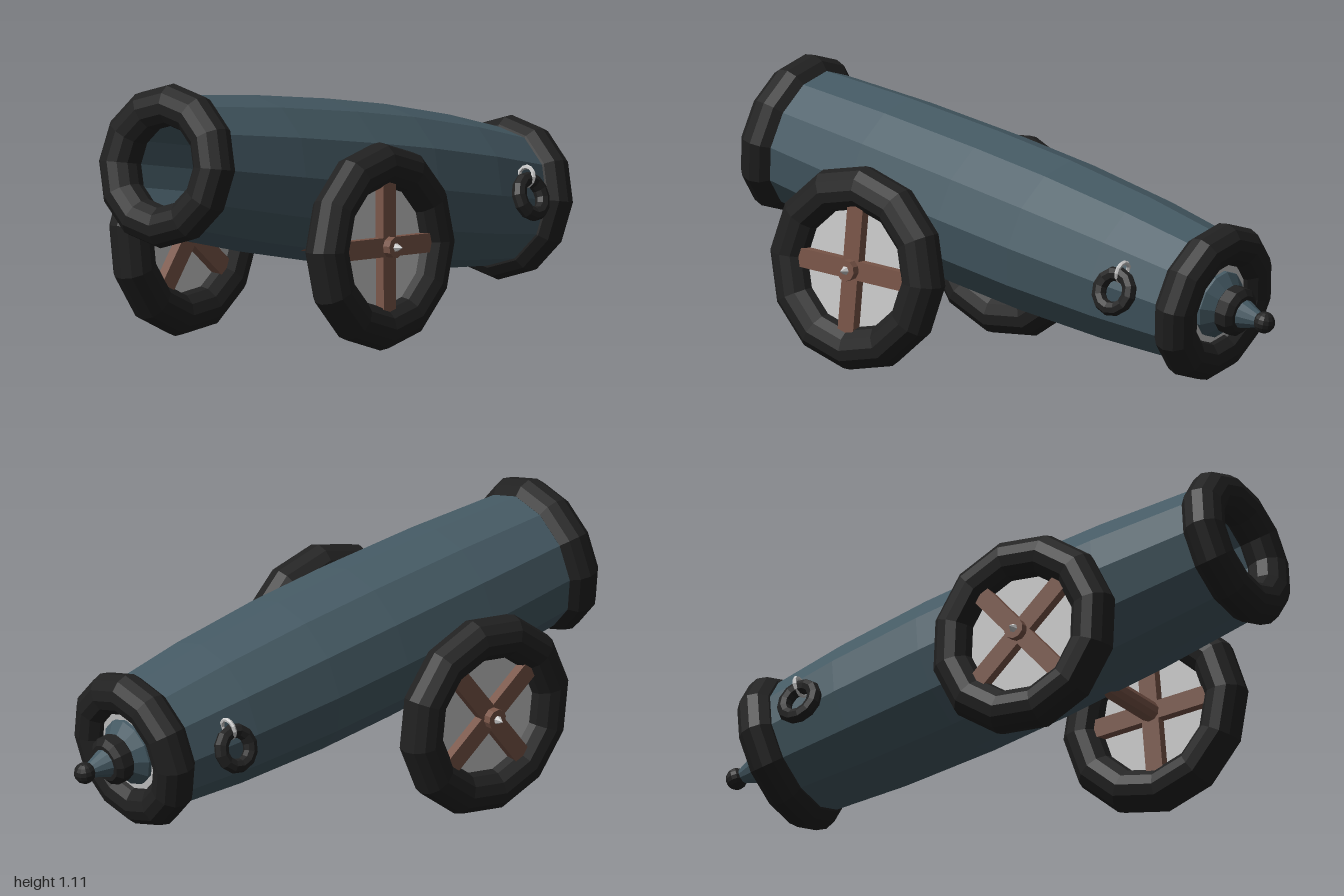
import * as THREE from 'three';

const material = (color) => new THREE.MeshStandardMaterial({ color, flatShading: true });

export function createModel() {
  const iron = material(0x455a64);
  const black = material(0x212121);
  const wood = material(0x795548);
  const grey = material(0xcccccc);

  // Cannon frame: x across, y up, z towards the muzzle; turned, pitched and slightly rolled
  const cannon = new THREE.Group();
  cannon.name = 'cannon';

  function add(parent, name, geometry, mat, x = 0, y = 0, z = 0) {
    const mesh = new THREE.Mesh(geometry, mat);
    mesh.name = name;
    mesh.position.set(x, y, z);
    parent.add(mesh);
    return mesh;
  }

  // Solid of revolution around z, from [radius, z] pairs running back to front
  function turned(name, profile, mat, sides) {
    const points = profile.map(([r, z]) => new THREE.Vector2(r, z));
    return add(cannon, name, new THREE.LatheGeometry(points, sides).rotateX(Math.PI / 2), mat);
  }

  // Bulging barrel with a bore
  turned('barrel', [
    [0, -1.02], [0.265, -1.02], [0.3, -0.65], [0.318, -0.25], [0.318, 0.1],
    [0.305, 0.55], [0.275, 1.02], [0.18, 1.02], [0.175, 0.3], [0, 0.3],
  ], iron, 12);

  // Thick rings at both ends
  for (const [name, z] of [['muzzleRing', 1.03], ['breechRing', -1.03]]) {
    add(cannon, name, new THREE.TorusGeometry(0.238, 0.083, 12, 12), black, 0, 0, z);
  }

  // Breech plate, neck, collar and knob
  turned('breechPlate', [[0, -1.055], [0.19, -1.055], [0.19, -1.0], [0, -1.0]], grey, 12);
  turned('breechNeck', [[0, -1.11], [0.09, -1.11], [0.135, -1.07], [0.135, -1.05]], iron, 12);
  turned('collar', [[0, -1.185], [0.075, -1.185], [0.098, -1.165], [0.098, -1.115], [0.075, -1.095], [0, -1.095]], black, 12);
  turned('knobStem', [[0, -1.27], [0.025, -1.27], [0.06, -1.18], [0, -1.18]], iron, 12);
  add(cannon, 'knob', new THREE.SphereGeometry(0.043, 12, 8), black, 0, 0, -1.285);

  // Axle through the underside of the barrel, its ends forming the hubs
  add(cannon, 'axle', new THREE.CylinderGeometry(0.042, 0.042, 1.16, 10).rotateZ(Math.PI / 2), wood, 0, -0.242, 0.3);

  for (const side of [1, -1]) {
    const label = side > 0 ? 'left' : 'right';

    // Wheel: tyre, disc, crossed spokes and hub pin
    const wheel = new THREE.Group();
    wheel.name = label + 'Wheel';
    wheel.position.set(side * 0.497, -0.242, 0.3);
    wheel.rotation.x = side > 0 ? 0.13 : -0.52;
    cannon.add(wheel);
    add(wheel, 'tyre', new THREE.TorusGeometry(0.32, 0.086, 12, 12).rotateY(Math.PI / 2), black);
    add(wheel, 'disc', new THREE.CylinderGeometry(0.28, 0.28, 0.02, 12).rotateZ(Math.PI / 2), grey);
    add(wheel, 'uprightSpoke', new THREE.BoxGeometry(0.1, 0.52, 0.075), wood);
    add(wheel, 'levelSpoke', new THREE.BoxGeometry(0.1, 0.075, 0.52), wood);
    add(wheel, 'hubPin', new THREE.ConeGeometry(0.02, 0.035, 6).rotateZ(-side * Math.PI / 2), grey, side * 0.097);

    // Hanging ring and its staple near the breech
    const handle = new THREE.Group();
    handle.name = label + 'Handle';
    handle.position.set(side * 0.29, 0.075, -0.79);
    cannon.add(handle);
    add(handle, 'staple', new THREE.TorusGeometry(0.038, 0.009, 6, 12), grey, side * 0.008, 0.008);
    const ring = add(handle, 'ring', new THREE.TorusGeometry(0.07, 0.029, 8, 12).rotateY(Math.PI / 2),
      black, side * 0.04, -0.068);
    ring.rotation.z = side * 0.3;
  }

  // Stand the cannon in its turned pose
  const forward = new THREE.Vector3(-0.642, 0.187, 0.744).normalize();
  const across = new THREE.Vector3(0.766, 0.05, 0.64);
  across.addScaledVector(forward, -across.dot(forward)).normalize();
  const up = new THREE.Vector3().crossVectors(forward, across);
  cannon.quaternion.setFromRotationMatrix(new THREE.Matrix4().makeBasis(across, up, forward));
  cannon.position.set(0, 0.62, 0);

  const model = new THREE.Group();
  model.add(cannon);

  // Rest on the ground
  model.updateMatrixWorld(true);
  cannon.position.y -= new THREE.Box3().setFromObject(model, true).min.y;
  return model;
}
